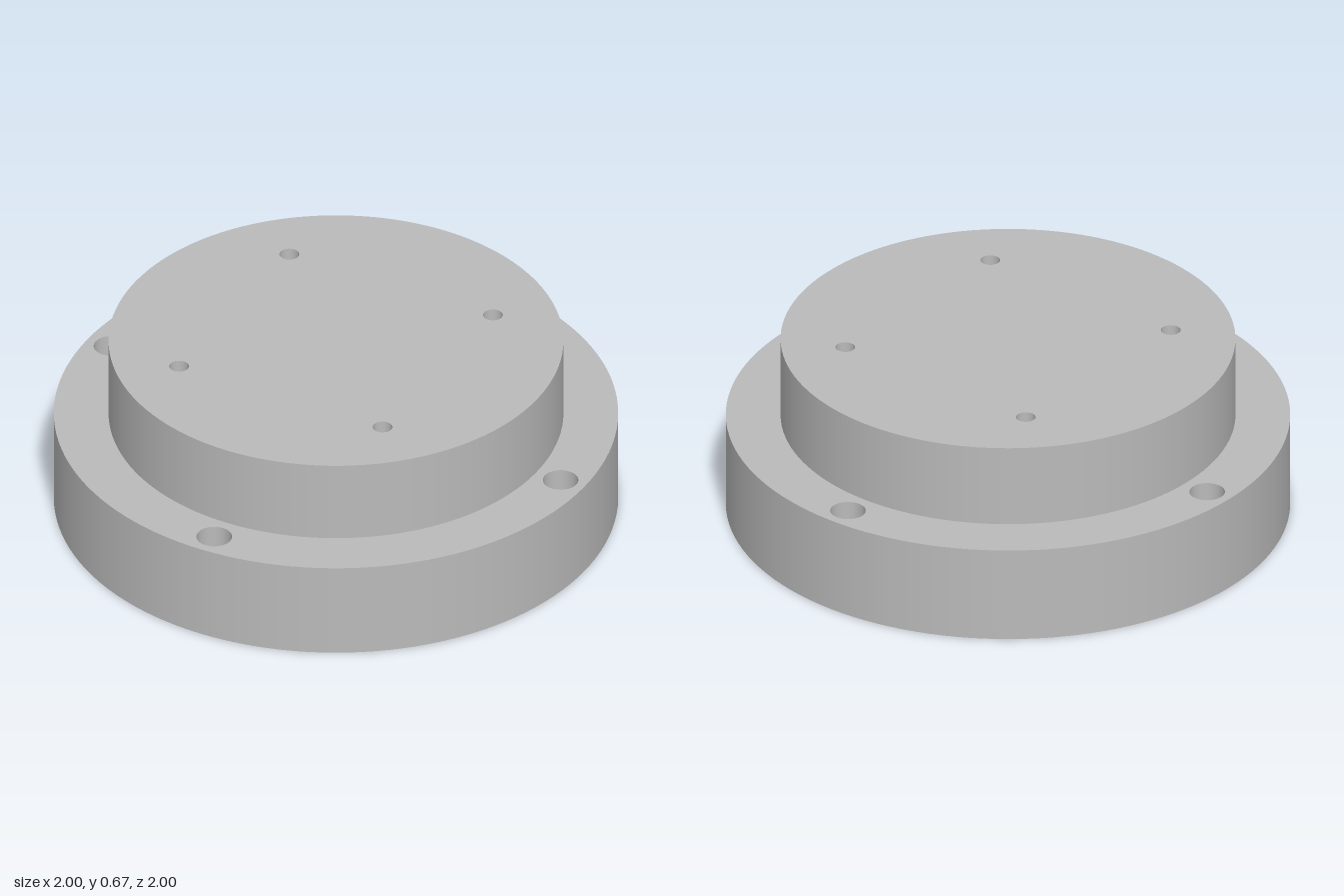
import * as THREE from 'three';

const SEG = 128;
const TOP = 0.665, FLANGE = 0.358, LEDGE = 0.26;
const R_OUT = 1, R_BOSS = 0.806, R_BORE = 0.808;
const CONE_IN = { r: 0.515, y: 0.475 }, CONE_OUT = { r: 0.768, y: LEDGE };
const SLOPE = (CONE_OUT.y - CONE_IN.y) / (CONE_OUT.r - CONE_IN.r);
const coneY = r => CONE_IN.y + SLOPE * (r - CONE_IN.r);
const BOLT = { d: 0.64, r: 0.063 };
const SCREW = { d: 0.58, r: 0.035, headR: 0.062, seat: 0.56 };

const boltSpots = [[1, 1], [1, -1], [-1, -1], [-1, 1]].map(([x, z]) => [x * BOLT.d, z * BOLT.d]);
const screwSpots = [[1, 0], [0, 1], [-1, 0], [0, -1]].map(([x, z]) => [x * SCREW.d, z * SCREW.d]);

export function createModel() {
  const group = new THREE.Group();
  const metal = new THREE.MeshStandardMaterial({ color: 0xbababa, side: THREE.DoubleSide });
  metal.name = 'grey metal';

  const add = (name, geometry, x = 0, z = 0) => {
    const mesh = new THREE.Mesh(geometry, metal);
    mesh.name = name;
    mesh.position.set(x, 0, z);
    group.add(mesh);
    return mesh;
  };

  // Revolved strip; rising profiles face outward, falling ones inward
  const turned = (points, seg = SEG) =>
    new THREE.LatheGeometry(points.map(p => new THREE.Vector2(...p)), seg);

  // Flat disc or ring with round holes, facing up or down
  const plate = (r, y, holes, up) => {
    const shape = new THREE.Shape().absarc(0, 0, r, 0, Math.PI * 2);
    for (const [x, z, hr] of holes) {
      shape.holes.push(new THREE.Path().absarc(x, z, hr, 0, Math.PI * 2, true));
    }
    return new THREE.ShapeGeometry(shape, SEG / 2)
      .rotateX(up ? -Math.PI / 2 : Math.PI / 2).translate(0, y, 0);
  };

  // Flange
  const boltHoles = boltSpots.map(([x, z]) => [x, z, BOLT.r]);
  add('flangeSide', turned([[R_OUT, 0], [R_OUT, FLANGE]]));
  add('flangeTop', plate(R_OUT, FLANGE, [[0, 0, R_BOSS], ...boltHoles], true));
  add('flangeBottom', plate(R_OUT, 0, [[0, 0, R_BORE], ...boltHoles], false));
  for (const [x, z] of boltSpots) {
    add('boltHole', turned([[BOLT.r, FLANGE], [BOLT.r, 0]], 48), x, z);
  }

  // Raised boss
  add('bossSide', turned([[R_BOSS, FLANGE], [R_BOSS, TOP]]));
  add('bossTop', plate(R_BOSS, TOP, screwSpots.map(([x, z]) => [x, z, SCREW.r]), true));

  // Hollow underside
  add('boreWall', turned([[R_BORE, LEDGE], [R_BORE, 0]]));
  add('boreLedge', turned([[CONE_OUT.r, LEDGE], [R_BORE, LEDGE]]));
  add('cavitySlope', turned([[0.285, 0.592], [CONE_IN.r, CONE_IN.y]]));
  add('cavityCeiling', turned([[0, 0.592], [0.285, 0.592]]));

  // Cone quarters, each pierced by a screw recess
  const quarter = coneQuarter();
  for (let i = 0; i < 4; i++) add('cavityCone', quarter).rotation.y = i * Math.PI / 2;

  // Screw holes with recesses that end on the cone
  for (const [x, z] of screwSpots) {
    add('screwHole', turned([[SCREW.r, TOP], [SCREW.r, SCREW.seat]], 40), x, z);
    add('screwSeat', turned([[SCREW.r, SCREW.seat], [SCREW.headR, SCREW.seat]], 64), x, z);
    const recess = turned([[SCREW.headR, SCREW.seat], [SCREW.headR, 0]], 64);
    const p = recess.attributes.position;
    for (let i = 0; i < p.count; i++) {
      if (p.getY(i) < 0.1) p.setY(i, coneY(Math.hypot(p.getX(i) + x, p.getZ(i) + z)));
    }
    add('screwRecess', recess, x, z);
  }
  return group;
}

// Grid of rays from the recess edge to the border of a quarter cone
function coneQuarter() {
  const half = Math.PI / 4 * SCREW.d;
  const low = CONE_IN.r - SCREW.d, high = CONE_OUT.r - SCREW.d;
  const angles = [];
  for (let i = 0; i < 64; i++) angles.push(-Math.PI + (i + 0.5) * Math.PI / 32);
  for (let i = 0; i <= 32; i++) {
    const t = half * (i / 16 - 1);
    angles.push(Math.atan2(t, low), Math.atan2(t, high));
  }
  angles.sort((a, b) => a - b);
  angles.push(angles[0] + Math.PI * 2);

  const rows = 6, pos = [], nor = [], index = [];
  const n = new THREE.Vector3();
  angles.forEach((a, i) => {
    const c = Math.cos(a), s = Math.sin(a);
    const hx = SCREW.d + SCREW.headR * c, hz = SCREW.headR * s;
    const r0 = Math.hypot(hx, hz), t0 = Math.atan2(hz, hx);
    const reach = Math.min((c < 0 ? low : high) / c, half / Math.max(Math.abs(s), 1e-9));
    const r1 = SCREW.d + reach * c, t1 = reach * s / SCREW.d;
    for (let j = 0; j <= rows; j++) {
      const r = r0 + (r1 - r0) * j / rows, t = t0 + (t1 - t0) * j / rows;
      pos.push(r * Math.cos(t), coneY(r), r * Math.sin(t));
      n.set(SLOPE * Math.cos(t), -1, SLOPE * Math.sin(t)).normalize();
      nor.push(n.x, n.y, n.z);
      if (i < angles.length - 1 && j < rows) {
        const k = i * (rows + 1) + j, m = k + rows + 1;
        index.push(k, k + 1, m, k + 1, m + 1, m);
      }
    }
  });
  const geometry = new THREE.BufferGeometry();
  geometry.setAttribute('position', new THREE.Float32BufferAttribute(pos, 3));
  geometry.setAttribute('normal', new THREE.Float32BufferAttribute(nor, 3));
  geometry.setIndex(index);
  return geometry;
}
